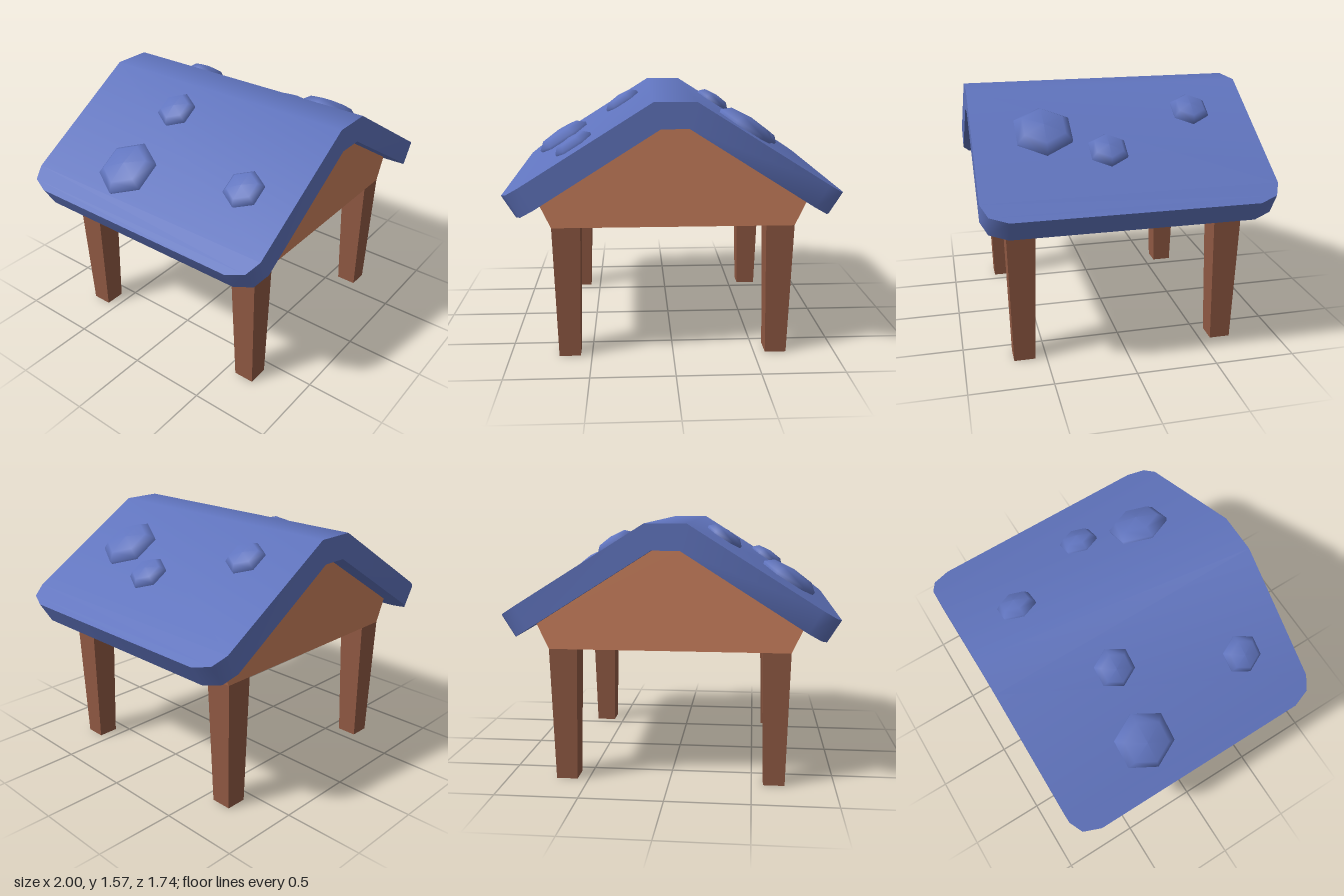
import * as THREE from 'three';
import { toCreasedNormals } from 'three/addons/utils/BufferGeometryUtils.js';

const paint = (name, color) => {
  const m = new THREE.MeshStandardMaterial({ color });
  m.name = name;
  return m;
};

// Bent roof slab: cross-sections from left to right, joined in a loop
function roofGeometry() {
  // [top x, top y, half depth, bottom x, bottom y]
  const half = [
    [0.12, 1.57, 0.87, 0.08, 1.42],
    [0.88, 1.095, 0.87, 0.80, 0.965],
    [0.96, 1.045, 0.83, 0.88, 0.915],
    [1.0, 1.02, 0.72, 0.92, 0.89],
  ];
  const mirrored = half.map(([x, y, d, bx, by]) => [-x, y, d, -bx, by]).reverse();
  const stations = [...mirrored, ...half];
  const positions = [], index = [];
  for (const [x, y, d, bx, by] of stations) {
    positions.push(x, y, d, x, y, -d, bx, by, -d, bx, by, d);
  }
  const quad = (a, b, c, d) => index.push(a, b, c, a, c, d);
  for (let i = 0; i < stations.length - 1; i++) {
    for (let k = 0; k < 4; k++) {
      const n = (k + 1) % 4;
      quad(i * 4 + k, i * 4 + 4 + k, i * 4 + 4 + n, i * 4 + n);
    }
  }
  const e = (stations.length - 1) * 4;
  quad(0, 1, 2, 3);
  quad(e, e + 3, e + 2, e + 1);
  const g = new THREE.BufferGeometry();
  g.setAttribute('position', new THREE.Float32BufferAttribute(positions, 3));
  g.setIndex(index);
  return toCreasedNormals(g, 0.9);
}

// Six-sided flattened dome, standing on its local y = 0
function bumpGeometry(radius, height) {
  const profile = [
    [radius * 0.95, -0.02],
    [radius, height * 0.25],
    [radius * 0.73, height * 0.82],
    [0, height],
  ].map(([x, y]) => new THREE.Vector2(x, y));
  return new THREE.LatheGeometry(profile, 6, Math.PI / 2);
}

export function createModel() {
  const model = new THREE.Group();
  model.name = 'shelter';
  const roofBlue = paint('roof blue', 0x6074be);
  const wallWood = paint('wall wood', 0xcb805d);
  const legWood = paint('leg wood', 0x905943);

  const add = (name, geometry, material) => {
    const mesh = new THREE.Mesh(geometry, material);
    mesh.name = name;
    model.add(mesh);
    return mesh;
  };

  add('roof', roofGeometry(), roofBlue);

  // Gable block under the roof
  const gable = new THREE.Shape([
    [-0.72, 0.82], [0.72, 0.82], [0.79, 0.972], [0.08, 1.42], [-0.08, 1.42], [-0.79, 0.972],
  ].map(([x, y]) => new THREE.Vector2(x, y)));
  const body = new THREE.ExtrudeGeometry(gable, { depth: 1.44, bevelEnabled: false });
  body.translate(0, 0, -0.72);
  add('gableBody', body, wallWood);

  // Tapered square legs
  const legGeometry = toCreasedNormals(
    new THREE.CylinderGeometry(0.085 * Math.SQRT2, 0.065 * Math.SQRT2, 0.82, 4, 1)
      .rotateY(Math.PI / 4), 0.5);
  for (const x of [-1, 1]) {
    for (const z of [-1, 1]) {
      const name = (z > 0 ? 'front' : 'back') + (x > 0 ? 'Left' : 'Right') + 'Leg';
      add(name, legGeometry, legWood).position.set(x * 0.635, 0.41, z * 0.635);
    }
  }

  // Bumps on both roof slopes: [x, z, radius, height]
  const tilt = Math.atan2(0.55, 0.88);
  const bumps = [
    [-0.71, -0.245, 0.19, 0.075],
    [-0.30, -0.20, 0.125, 0.058],
    [-0.585, 0.54, 0.125, 0.058],
    [0.345, -0.49, 0.125, 0.058],
    [0.60, 0.09, 0.125, 0.058],
    [0.45, 0.45, 0.19, 0.075],
  ];
  bumps.forEach(([x, z, radius, height], i) => {
    const bump = add('roofBump' + (i + 1), bumpGeometry(radius, height), roofBlue);
    bump.position.set(x, 1.02 + (1 - Math.abs(x)) * 0.625, z);
    bump.rotation.z = -Math.sign(x) * tilt;
  });

  return model;
}
